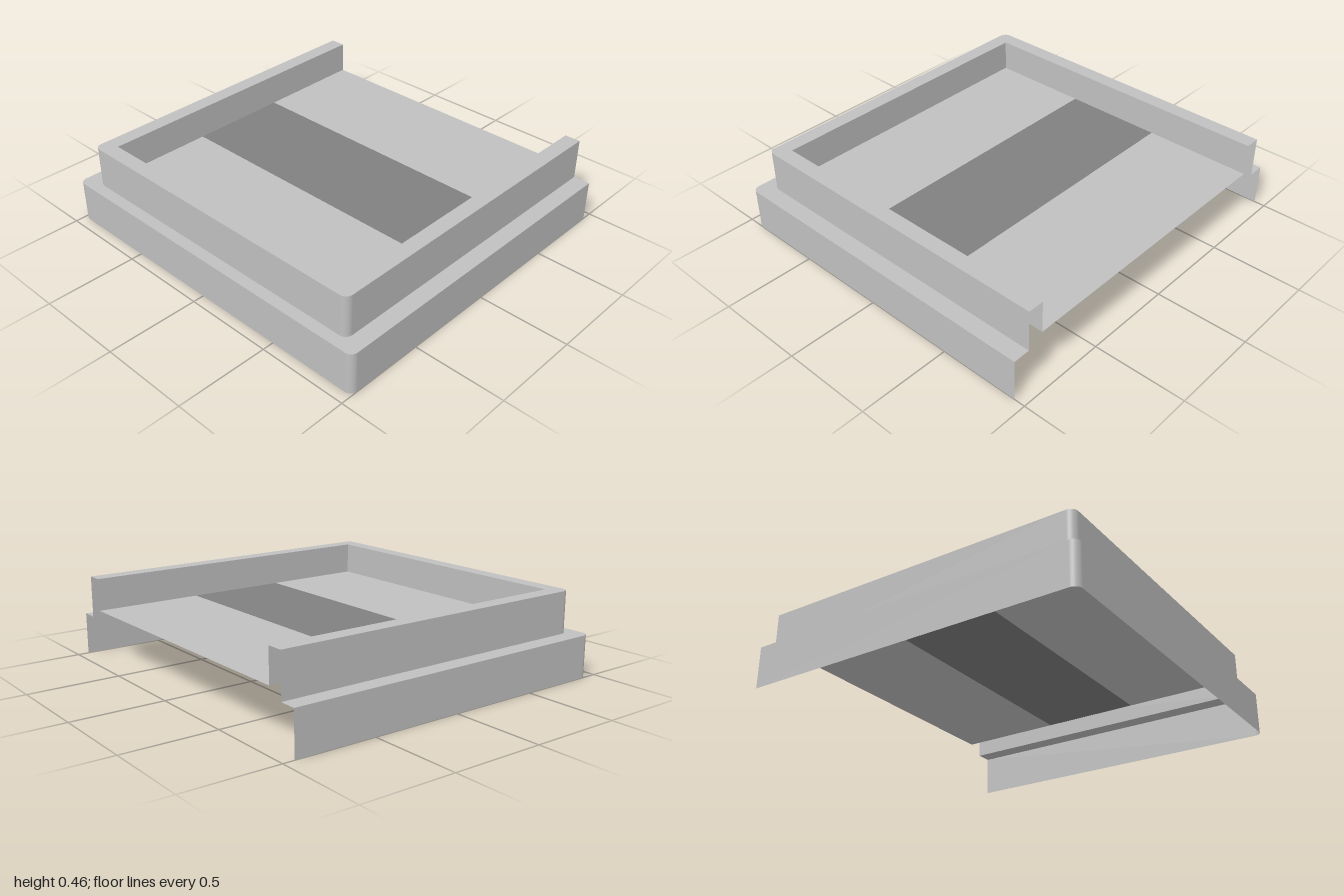
import * as THREE from 'three';

const BACK = -0.94;
const FLOOR_Y = 0.28;
const INNER_X = 0.82;
const INNER_FRONT = 0.79;

// U-shaped outline, open at the back, with two rounded front corners
function outline(halfWidth, front, radius, y) {
  const steps = 8;
  const points = [new THREE.Vector3(halfWidth, y, BACK)];
  for (const side of [1, -1]) {
    for (let i = 0; i <= steps; i++) {
      const t = (side > 0 ? i : steps - i) / steps * Math.PI / 2;
      points.push(new THREE.Vector3(
        side * (halfWidth - radius + radius * Math.cos(t)), y,
        front - radius + radius * Math.sin(t)));
    }
  }
  points.push(new THREE.Vector3(-halfWidth, y, BACK));
  return points;
}

// Thin surface between two outlines
function strip(a, b) {
  const n = a.length;
  const index = [];
  for (let i = 0; i < n - 1; i++) {
    index.push(i, n + i, i + 1, i + 1, n + i, n + i + 1);
  }
  const geometry = new THREE.BufferGeometry().setFromPoints([...a, ...b]);
  geometry.setIndex(index);
  geometry.computeVertexNormals();
  return geometry;
}

export function createModel() {
  const group = new THREE.Group();
  group.name = 'steppedTray';

  const lightGrey = new THREE.MeshStandardMaterial({ color: 0xc0c0c0, side: THREE.DoubleSide });
  lightGrey.name = 'lightGrey';
  const darkGrey = new THREE.MeshStandardMaterial({ color: 0x808080, side: THREE.DoubleSide });
  darkGrey.name = 'darkGrey';

  const add = (name, geometry, material) => {
    const mesh = new THREE.Mesh(geometry, material);
    mesh.name = name;
    group.add(mesh);
    return mesh;
  };

  // Stepped shell, from the outer foot up and over the rim to the floor
  const rings = [
    outline(1, 0.94, 0.04, 0),
    outline(1, 0.94, 0.04, 0.23),
    outline(0.907, 0.875, 0.04, 0.23),
    outline(0.907, 0.875, 0.04, 0.457),
    outline(INNER_X, INNER_FRONT, 0, 0.457),
    outline(INNER_X, INNER_FRONT, 0, FLOOR_Y),
  ];
  ['lowerSkirt', 'ledge', 'upperWall', 'rim', 'innerWall'].forEach((name, i) =>
    add(name, strip(rings[i], rings[i + 1]), lightGrey));

  // Floor in three bands, the middle one dark
  const bands = [
    ['backFloor', BACK, -0.335, lightGrey],
    ['middleFloorBand', -0.335, 0.225, darkGrey],
    ['frontFloor', 0.225, INNER_FRONT, lightGrey],
  ];
  for (const [name, z0, z1, material] of bands) {
    const geometry = new THREE.PlaneGeometry(2 * INNER_X, z1 - z0).rotateX(-Math.PI / 2);
    add(name, geometry, material).position.set(0, FLOOR_Y, (z0 + z1) / 2);
  }

  return group;
}
